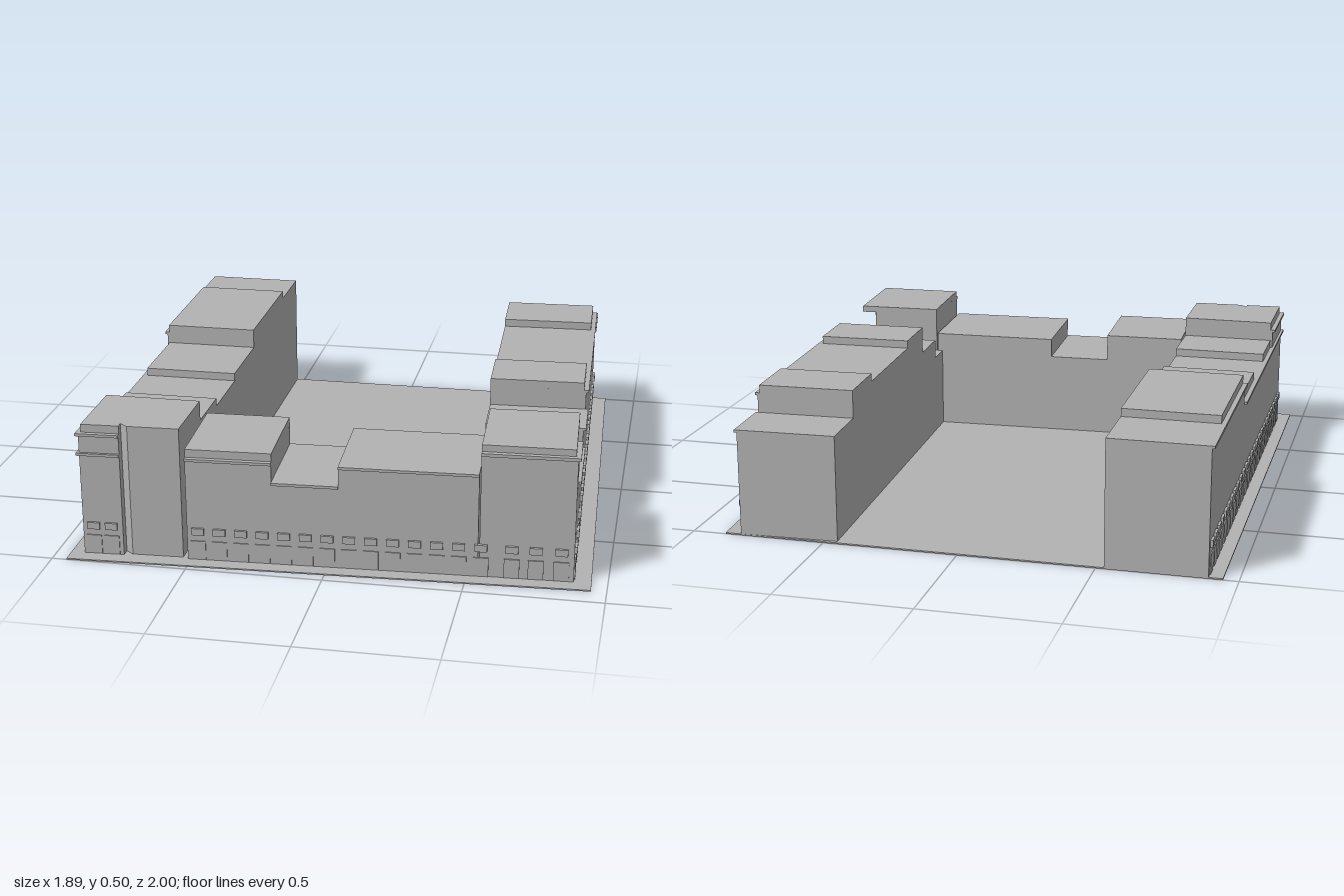
import * as THREE from 'three';

const stone = new THREE.MeshStandardMaterial({ color: 0xb2b2b2 });
stone.name = 'grey stone';

// Upright prism from a plan outline of [x, z] points
function prism(name, plan, y0, y1) {
  const shape = new THREE.Shape(plan.map(([x, z]) => new THREE.Vector2(x, -z)));
  const geo = new THREE.ExtrudeGeometry(shape, { depth: y1 - y0, bevelEnabled: false });
  geo.rotateX(-Math.PI / 2).translate(0, y0, 0);
  const mesh = new THREE.Mesh(geo, stone);
  mesh.name = name;
  return mesh;
}

// Each wing: outer and inner wall lines, outward direction, and how a station maps to [x, z]
const frontWing = {
  name: 'front', normal: [0.043, 1],
  outer: x => [x, 0.925 - 0.043 * (x + 0.51)],
  inner: x => [x - 0.014, 0.555 - 0.037 * (x + 0.52)],
};
const rightWing = {
  name: 'right', normal: [1, -0.035],
  outer: z => [0.815 + 0.035 * (z + 1), z],
  inner: z => [0.45 + 0.037 * (z + 1), z + 0.014],
};
const leftWing = {
  name: 'left', normal: [-1, 0],
  outer: z => [-0.895, z],
  inner: z => [-0.53, z],
};

// Plan of a wing between two stations, with the outer wall moved by a distance
function plan(wing, a, b, move = 0) {
  const [nx, nz] = wing.normal;
  const push = ([x, z]) => [x + nx * move, z + nz * move];
  return [push(wing.outer(a)), push(wing.outer(b)), wing.inner(b), wing.inner(a)];
}

// One house: wall, cornice at the wall top, and an optional set-back roof block
function house(wing, a, b, wallTop, roofTop) {
  const g = new THREE.Group();
  g.name = wing.name + 'House';
  g.add(prism('wall', plan(wing, a, b), 0, wallTop));
  g.add(prism('cornice', plan(wing, a, b, 0.01), wallTop - 0.01, wallTop));
  if (roofTop) g.add(prism('roofBlock', plan(wing, a, b, -0.008), wallTop, roofTop));
  return g;
}

const windowGeo = new THREE.BoxGeometry(0.045, 0.026, 0.018);
const doorGeo = new THREE.BoxGeometry(0.055, 0.072, 0.008);

// Row of window boxes with shopfront panels below
function openings(wing, stations) {
  const g = new THREE.Group();
  g.name = wing.name + 'Openings';
  const angle = Math.atan2(...wing.normal);
  for (const s of stations) {
    const [x, z] = wing.outer(s);
    for (const [name, geo, y] of [['window', windowGeo, 0.117], ['shopfront', doorGeo, 0.043]]) {
      const mesh = new THREE.Mesh(geo, stone);
      mesh.name = name;
      mesh.position.set(x, y, z);
      mesh.rotation.y = angle;
      g.add(mesh);
    }
  }
  return g;
}

const row = (from, step, count) => Array.from({ length: count }, (_, i) => from + i * step);

export function createModel() {
  const model = new THREE.Group();
  model.name = 'courtyardBlock';

  // Ground slab
  model.add(prism('ground', [[-0.945, -1], [-0.945, 1], [0.945, 0.92], [0.875, -1]], 0, 0.005));

  // Houses: [start, end, wall top, roof top]
  const wings = [
    [frontWing, [[-0.51, -0.198, 0.4, 0.43], [-0.198, 0.042, 0.325], [0.042, 0.54, 0.4]]],
    [rightWing, [[-1, -0.775, 0.4], [-0.775, -0.54, 0.475, 0.505], [-0.54, -0.04, 0.475],
      [-0.04, 0.185, 0.475, 0.505], [0.185, 0.385, 0.4], [0.385, 0.51, 0.325]]],
    [leftWing, [[-1, -0.74, 0.475], [-0.74, -0.2, 0.475, 0.505], [-0.2, 0.12, 0.4, 0.43],
      [0.12, 0.4, 0.4], [0.4, 0.63, 0.4, 0.43]]],
  ];
  for (const [wing, houses] of wings) {
    for (const h of houses) model.add(house(wing, ...h));
  }

  // Right corner tower, with a recess under the roof on its side wall
  const rightTower = new THREE.Group();
  rightTower.name = 'rightCornerTower';
  rightTower.add(
    prism('base', [[0.53, 0.515], [0.545, 0.877], [0.88, 0.865], [0.867, 0.5]], 0, 0.325),
    prism('upperWall', [[0.53, 0.515], [0.545, 0.877], [0.88, 0.865], [0.874, 0.715], [0.81, 0.715], [0.8, 0.503]], 0.325, 0.48),
    prism('roof', [[0.53, 0.515], [0.545, 0.868], [0.872, 0.857], [0.856, 0.5]], 0.48, 0.505),
    prism('cornice', [[0.545, 0.8], [0.545, 0.888], [0.89, 0.874], [0.884, 0.715], [0.8, 0.715]], 0.468, 0.48),
    prism('sill', [[0.82, 0.5], [0.82, 0.715], [0.884, 0.715], [0.877, 0.5]], 0.315, 0.325),
  );
  model.add(rightTower);

  // Left corner tower, with a full-height slot in its front
  const leftTower = new THREE.Group();
  leftTower.name = 'leftCornerTower';
  const slot = [[-0.748, 0.9], [-0.718, 0.923], [-0.53, 0.915], [-0.53, 0.63]];
  leftTower.add(
    prism('wall', [[-0.895, 0.63], [-0.895, 0.94], [-0.748, 0.933], ...slot], 0, 0.475),
    prism('roof', [[-0.887, 0.63], [-0.887, 0.932], [-0.748, 0.925], ...slot], 0.475, 0.505),
  );
  for (const y of [0.4, 0.475]) {
    leftTower.add(prism('cornice', [[-0.905, 0.63], [-0.905, 0.95], [-0.748, 0.943], [-0.748, 0.92], [-0.88, 0.92], [-0.88, 0.63]], y - 0.01, y));
  }
  model.add(leftTower);

  // Windows and shopfronts on the three street sides
  model.add(openings(frontWing, [...row(-0.47, 0.0785, 14), 0.66, 0.745, 0.835]));
  model.add(openings(rightWing, [...row(-0.81, 0.0732, 17), 0.515, 0.68, 0.82, -0.96]));
  model.add(openings(leftWing, row(-0.95, 0.0765, 25)));
  const towerFront = { name: 'leftTower', normal: [0.045, 1], outer: x => [x, 0.94 - 0.047 * (x + 0.895)] };
  model.add(openings(towerFront, [-0.855, -0.79]));

  return model;
}
